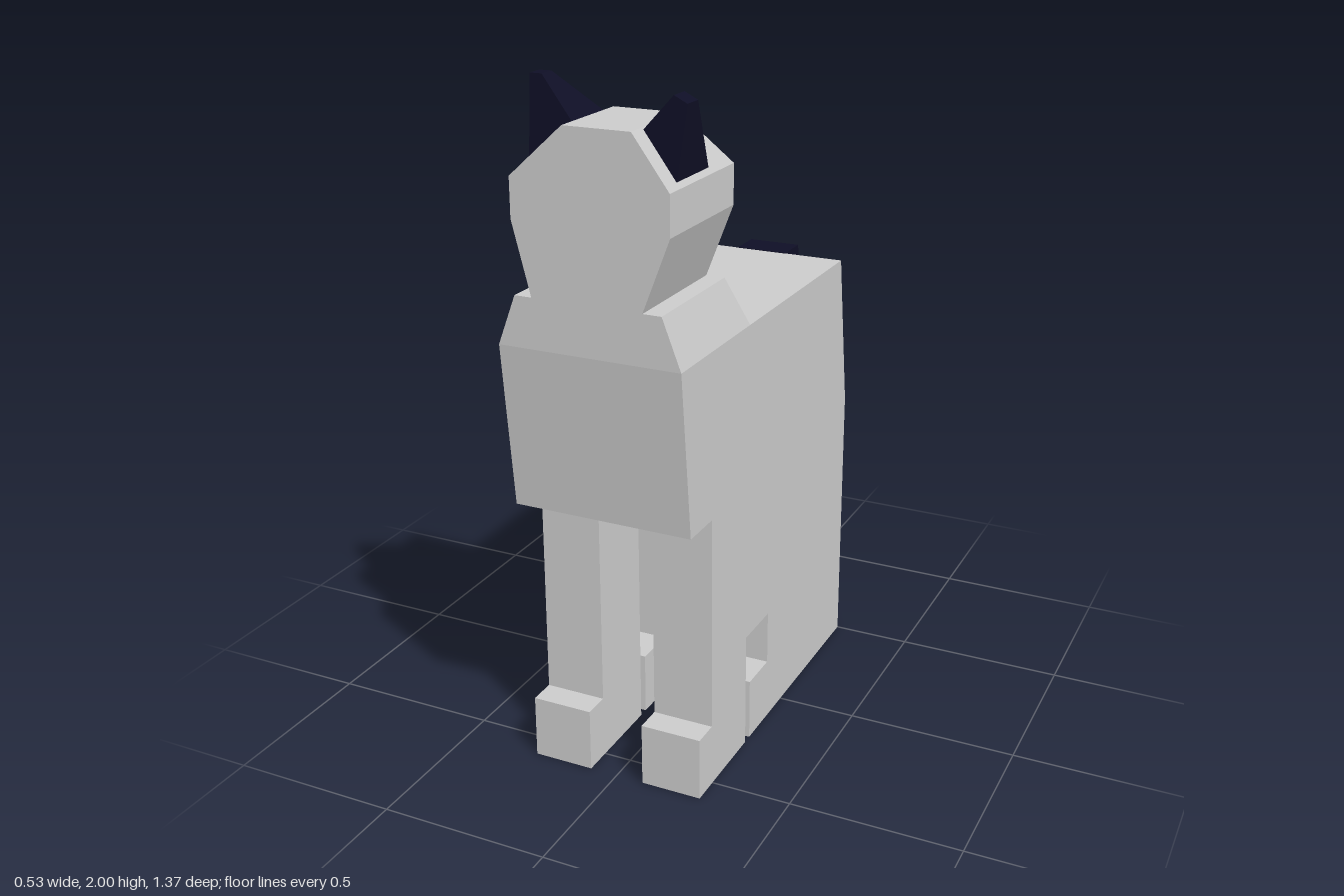
import * as THREE from 'three';
import { ConvexGeometry } from 'three/addons/geometries/ConvexGeometry.js';

const mat = (name, color) => {
  const m = new THREE.MeshStandardMaterial({ color });
  m.name = name;
  return m;
};

// Side profile given as [z, y] points
const profile = (pts) => new THREE.Shape(pts.map(([z, y]) => new THREE.Vector2(z, y)));

// Extrude a side profile across the width from x0 to x1
function slab(pts, x0, x1) {
  const g = new THREE.ExtrudeGeometry(profile(pts), { depth: x1 - x0, bevelEnabled: false });
  return g.rotateY(-Math.PI / 2).translate(x1, 0, 0);
}

// Convex block through rectangular levels [y, x0, x1, z0, z1]
function levels(rows) {
  const pts = [];
  for (const [y, x0, x1, z0, z1] of rows)
    for (const x of [x0, x1]) for (const z of [z0, z1]) pts.push(new THREE.Vector3(x, y, z));
  return new ConvexGeometry(pts);
}

// Ear from rows [x, y, zBack], sharing a flat front
const ear = (rows) => new ConvexGeometry(rows.flatMap(([x, y, z]) =>
  [new THREE.Vector3(x, y, z), new THREE.Vector3(x, y, 0.633)]));

export function createModel() {
  const grey = mat('grey fur', 0xcccccc);
  const navy = mat('dark navy fur', 0x0f0f26);
  const brown = mat('brown patch', 0x664c33);
  const model = new THREE.Group();
  model.name = 'cat';
  const add = (name, geometry, material) => {
    const mesh = new THREE.Mesh(geometry, material);
    mesh.name = name;
    model.add(mesh);
  };

  const W = 0.263, gap = 0.083;

  // Middle of the torso, recessed between the legs
  add('torsoMiddle', slab([
    [0.688, 1.3], [0.637, 0.825], [0.27, 0.825], [0.27, 0.35], [0.11, 0.35],
    [0.11, 0.187], [-0.5, 0.187], [-0.5, 0.825], [-0.425, 1.3],
  ], -gap, gap), grey);

  // Flanks with front leg, paw and hind leg
  const flank = [
    [0.688, 1.3], [0.637, 0.825], [0.505, 0.825], [0.505, 0.187], [0.585, 0.187], [0.585, 0],
    [0.27, 0], [0.27, 0.35], [0.11, 0.35], [0.11, 0.187], [0.24, 0.187], [0.24, 0],
    [-0.5, 0], [-0.5, 0.825], [-0.425, 1.3],
  ];
  add('leftFlankAndLegs', slab(flank, gap, W), grey);
  add('rightFlankAndLegs', slab(flank, -W, -gap), grey);

  // Brown patch on the right flank
  add('flankPatch', slab([
    [0.27, 1.3], [-0.425, 1.3], [-0.5, 0.825], [0.11, 0.825], [0.11, 0.35], [0.27, 0.35],
  ], -W - 0.003, -W), brown);

  // Shoulders and head
  add('shoulders', levels([
    [1.3, -W, W, 0.265, 0.688],
    [1.44, -0.21, 0.21, 0.317, 0.688],
  ]), grey);
  add('head', levels([
    [1.44, -0.16, 0.157, 0.317, 0.688],
    [1.64, -0.212, 0.235, 0.317, 0.688],
    [1.75, -0.212, 0.235, 0.317, 0.688],
    [1.89, -0.057, 0.133, 0.42, 0.688],
  ]), grey);

  // Ears lean slightly differently
  add('rightEar', ear([
    [-0.185, 1.765, 0.447], [-0.058, 1.888, 0.47], [-0.14, 2, 0.585], [-0.174, 2, 0.585],
  ]), navy);
  add('leftEar', ear([
    [0.226, 1.765, 0.452], [0.138, 1.886, 0.48], [0.22, 1.975, 0.575], [0.256, 1.957, 0.575],
  ]), navy);

  // Drooping tail
  add('tail', slab([
    [-0.423, 1.302], [-0.528, 1.302], [-0.605, 0.82], [-0.685, 0.59], [-0.637, 0.56], [-0.5, 0.82],
  ], -0.08, 0.08), navy);

  return model;
}
